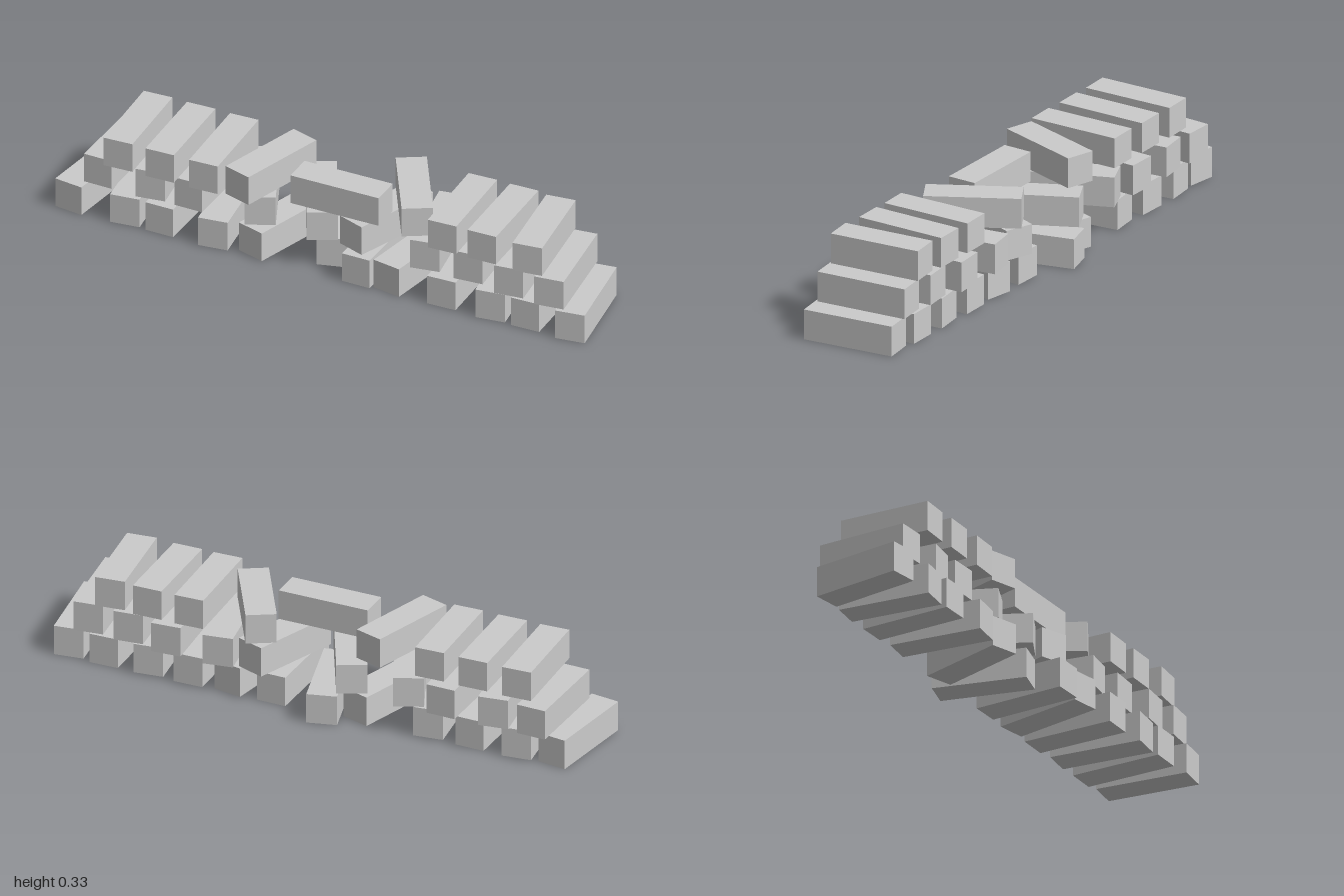
import * as THREE from 'three';

const WIDTH = 0.106, HEIGHT = 0.109, LENGTH = 0.333, STEP = 0.1115;

// Each brick: [x, z, lean], lean in degrees turns the rear end toward +x
const layers = {
  bottomBrick: [
    [-0.925, 0.027, 7.5], [-0.754, 0.023, -6.5], [-0.602, 0.022, 1], [-0.422, 0.025, -7],
    [-0.217, 0.02, 17], [-0.032, -0.045, -15], [0.14, 0.022, 1], [0.28, 0.022, 10],
    [0.457, 0.022, -1], [0.625, 0.025, -7], [0.773, 0.022, -1], [0.925, 0.026, -7.5],
  ],
  middleBrick: [
    [-0.845, -0.003, 1.5], [-0.674, 0, -8], [-0.505, -0.003, 1], [-0.31, -0.003, -23.5],
    [-0.088, -0.005, -27], [0.158, -0.003, 20], [0.358, -0.003, -9],
    [0.537, -0.003, -4], [0.695, 0.02, -6], [0.848, 0.024, -6.5],
  ],
  topBrick: [
    [-0.762, 0.034, -2.5], [-0.602, 0.034, -1.5], [-0.438, 0.034, -2], [-0.257, 0.04, 17],
    [0.033, 0.087, 90], [0.262, -0.004, -30], [0.457, 0.022, -2],
    [0.61, 0.022, -1], [0.767, 0.025, -6.5],
  ],
};

export function createModel() {
  const model = new THREE.Group();
  model.name = 'brickWall';
  const geometry = new THREE.BoxGeometry(WIDTH, HEIGHT, LENGTH);
  const material = new THREE.MeshStandardMaterial({ color: 0xcccccc, flatShading: true });

  // Stacked courses of loosely laid bricks
  Object.entries(layers).forEach(([name, bricks], level) => {
    const course = new THREE.Group();
    course.name = name + 'Course';
    course.position.y = HEIGHT / 2 + level * STEP;
    for (const [x, z, lean] of bricks) {
      const brick = new THREE.Mesh(geometry, material);
      brick.name = name;
      brick.position.set(x, 0, z);
      brick.rotation.y = -THREE.MathUtils.degToRad(lean);
      course.add(brick);
    }
    model.add(course);
  });
  return model;
}
